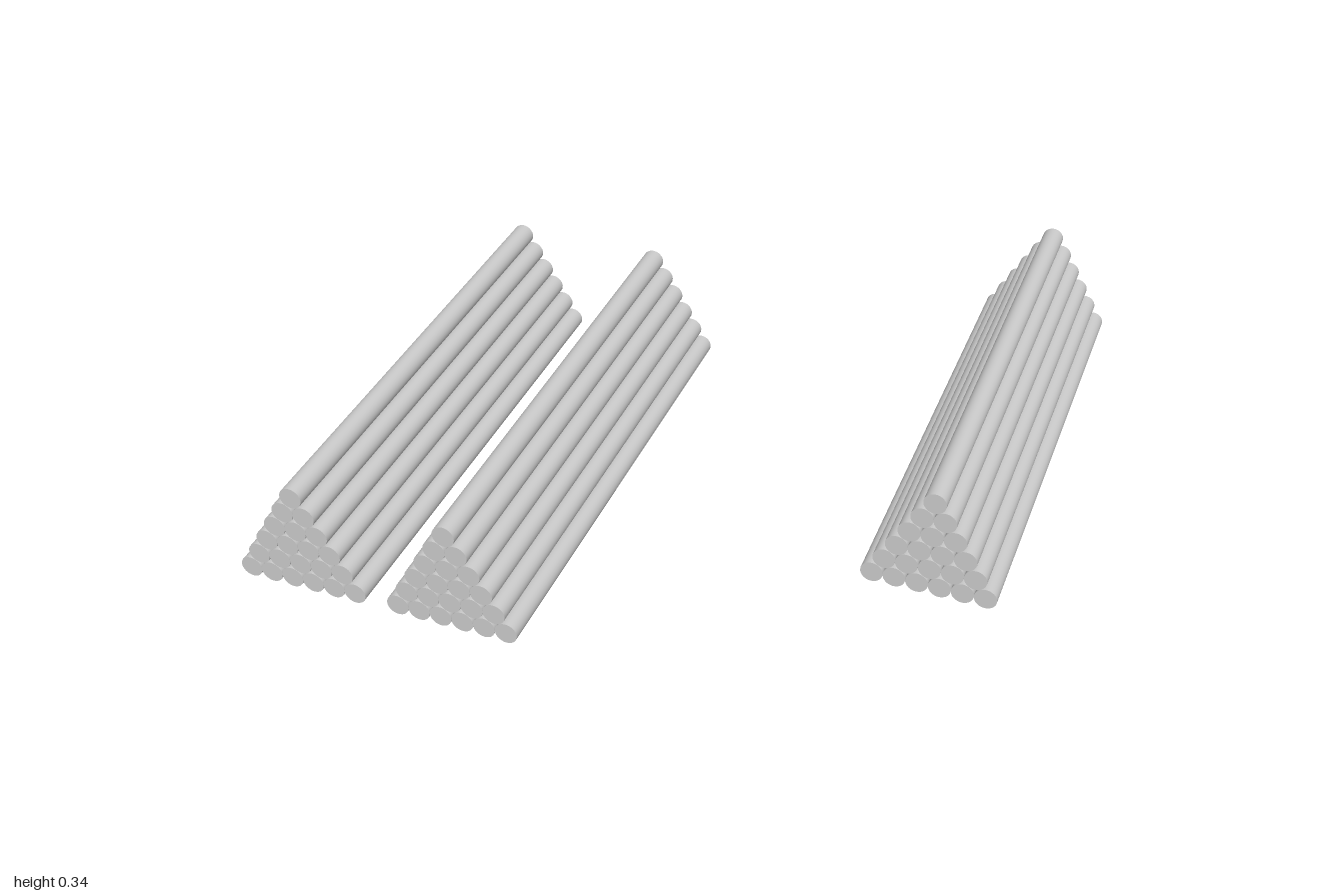
import * as THREE from 'three';

const RADIUS = 0.0315;
const LENGTH = 1.433;
const ROW_RISE = 0.0557;
const BASE_COUNT = 6;

// One triangular stack: 6 logs at the bottom, one fewer in each row above
function logPile(name, geometry, material) {
  const pile = new THREE.Group();
  pile.name = name;
  for (let row = 0; row < BASE_COUNT; row++) {
    const count = BASE_COUNT - row;
    for (let i = 0; i < count; i++) {
      const log = new THREE.Mesh(geometry, material);
      log.name = `logRow${row + 1}Number${i + 1}`;
      log.position.set((i - (count - 1) / 2) * 2 * RADIUS, RADIUS + row * ROW_RISE, 0);
      pile.add(log);
    }
  }
  return pile;
}

export function createModel() {
  const model = new THREE.Group();
  model.name = 'logPiles';
  const material = new THREE.MeshStandardMaterial({ color: 0xcccccc });

  // Log lying along z
  const geometry = new THREE.CylinderGeometry(RADIUS, RADIUS, LENGTH, 32);
  geometry.rotateX(Math.PI / 2);

  // Two piles side by side towards the front, one set back on the other side
  const zOffset = 1 - LENGTH / 2;
  const piles = [
    ['rightPile', -0.788, zOffset],
    ['middlePile', -0.345, zOffset],
    ['leftPile', 0.788, -zOffset],
  ];
  for (const [name, x, z] of piles) {
    const pile = logPile(name, geometry, material);
    pile.position.set(x, 0, z);
    model.add(pile);
  }
  return model;
}
